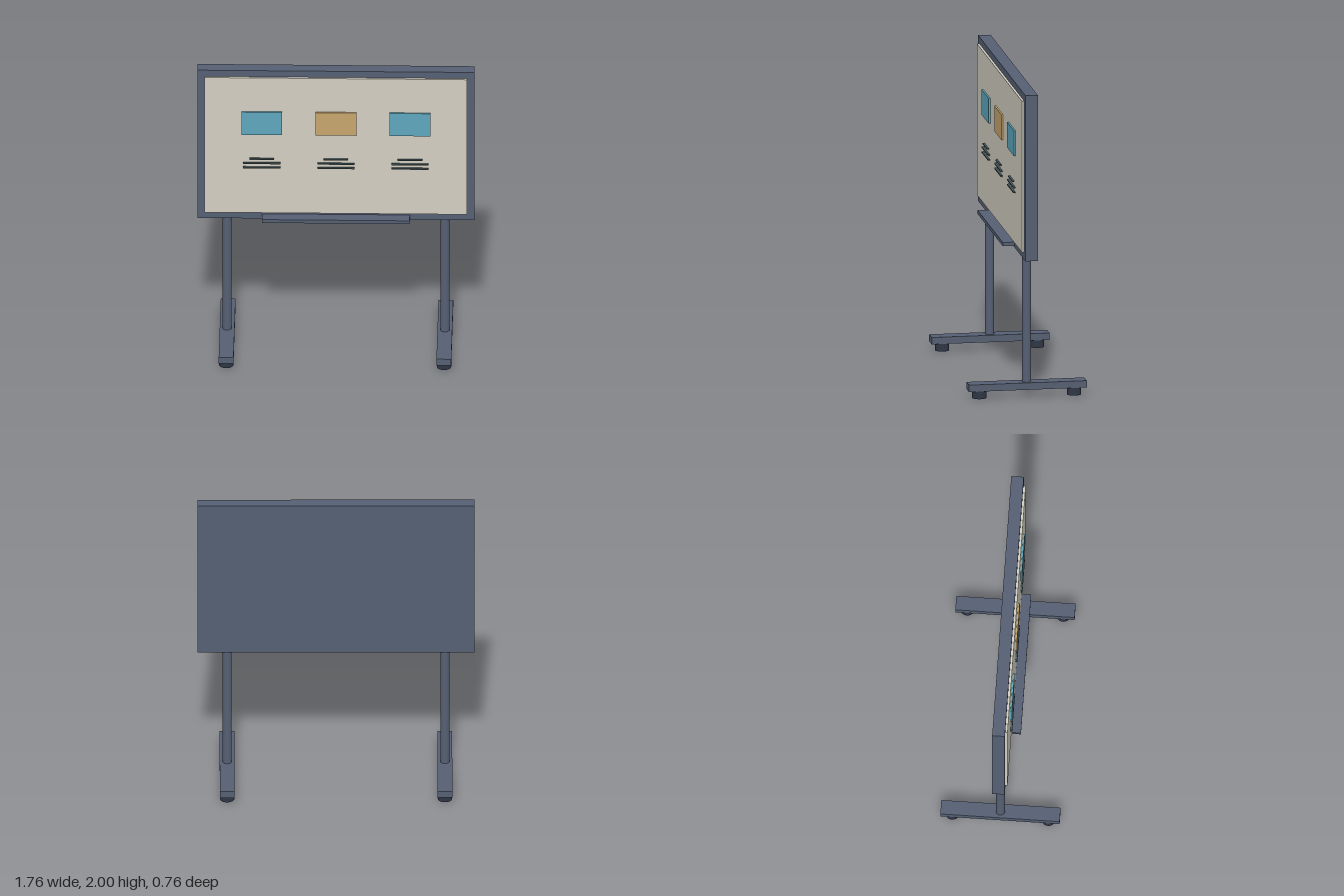
import * as THREE from 'three';

const mat = (color) => new THREE.MeshStandardMaterial({ color });
const slate = mat(0x566073);
const dark = mat(0x2f3746);
const cream = mat(0xd3cec1);
const blue = mat(0x5fa7be);
const ochre = mat(0xc7a56c);
const ink = mat(0x46585c);

export function createModel() {
  const model = new THREE.Group();
  model.name = 'mobileDisplayBoard';

  const add = (name, geometry, material, x, y, z) => {
    const mesh = new THREE.Mesh(geometry, material);
    mesh.name = name;
    mesh.position.set(x, y, z);
    model.add(mesh);
  };
  // Box given by its centre x, and its y and z ranges
  const box = (name, material, x, width, y0, y1, z0, z1) =>
    add(name, new THREE.BoxGeometry(width, y1 - y0, z1 - z0), material, x, (y0 + y1) / 2, (z0 + z1) / 2);

  // Board, writing surface and pen tray
  box('boardFrame', slate, 0, 1.76, 0.92, 2, -0.04, 0.04);
  box('boardSurface', cream, 0, 1.67, 0.97, 1.955, 0.038, 0.055);
  box('penTray', slate, 0, 0.94, 0.93, 0.954, 0.038, 0.115);

  // Cards, each with three lines beneath
  for (const i of [-1, 0, 1]) {
    const x = i * 0.471;
    box('card', i === 0 ? ochre : blue, x, 0.26, 1.545, 1.71, 0.054, 0.066);
    [0.157, 0.236, 0.236].forEach((width, row) => {
      const y = 1.368 - row * 0.0315;
      box('noteLine', ink, x, width, y - 0.004, y + 0.004, 0.054, 0.068);
    });
  }

  // Stand: post, foot and two casters on each side
  for (const side of [-1, 1]) {
    const x = side * 0.692;
    add('post', new THREE.CylinderGeometry(0.029, 0.029, 0.835, 24), slate, x, 0.5075, 0);
    box('foot', slate, x, 0.094, 0.05, 0.095, -0.38, 0.38);
    for (const end of [-1, 1])
      add('caster', new THREE.CylinderGeometry(0.046, 0.046, 0.05, 24), dark, x, 0.025, end * 0.306);
  }
  return model;
}
